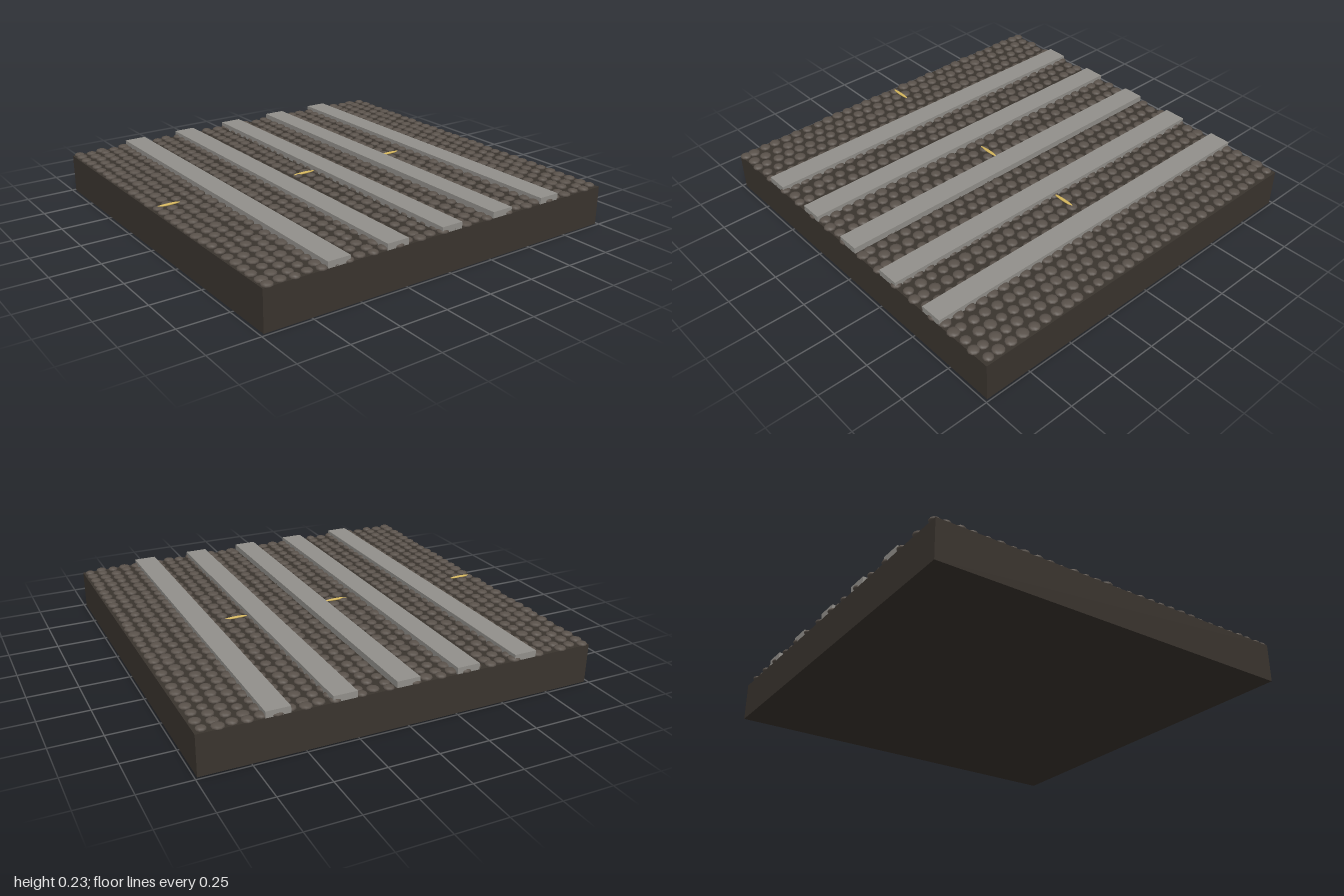
import * as THREE from 'three';
import { mergeGeometries } from 'three/addons/utils/BufferGeometryUtils.js';

const SIZE = 1.972;      // slab side length
const TOP = 0.2;         // slab top
const ROWS = 30;
const PITCH = 0.0658;    // cobble spacing

function seeded(seed) {
  return () => (seed = (seed * 16807) % 2147483647) / 2147483647;
}

function part(name, geometry, color, x = 0, y = 0, z = 0) {
  const mesh = new THREE.Mesh(geometry, new THREE.MeshStandardMaterial({ color }));
  mesh.name = name;
  mesh.position.set(x, y, z);
  return mesh;
}

// Flattened rounded stones in staggered rows, merged into one surface
function cobbleGeometry() {
  const random = seeded(71);
  const jitter = (amount) => (random() - 0.5) * 2 * amount;
  const stones = [];
  for (let row = 0; row < ROWS; row++) {
    const count = row % 2 ? 31 : 30;
    for (let i = 0; i < count; i++) {
      const radius = 0.029 + jitter(0.003);
      const limit = 0.998 - radius;
      const x = (i - (count - 1) / 2) * PITCH + jitter(0.005);
      const z = (row - (ROWS - 1) / 2) * PITCH + jitter(0.004);
      const stone = new THREE.SphereGeometry(1, 10, 6);
      stone.scale(radius, 0.012 + jitter(0.0015), radius);
      stone.rotateY(random() * Math.PI);
      stone.translate(THREE.MathUtils.clamp(x, -limit, limit), TOP + 0.005, z);
      stones.push(stone);
    }
  }
  return mergeGeometries(stones);
}

export function createModel() {
  const group = new THREE.Group();
  group.name = 'cobbledCrossing';

  // Road bed
  group.add(part('roadSlab', new THREE.BoxGeometry(SIZE, TOP, SIZE), 0x3a342e, 0, TOP / 2, -0.003));
  group.add(part('cobbles', cobbleGeometry(), 0x5a524b));

  // Raised crossing stripes
  const stripe = new THREE.BoxGeometry(SIZE, 0.032, 0.116);
  for (let i = -2; i <= 2; i++) {
    group.add(part('crossingStripe', stripe, 0x92908b, 0, TOP + 0.016, i * 0.31 - 0.007));
  }

  // Thin golden slivers along the centre line
  const sliver = new THREE.SphereGeometry(1, 16, 10);
  sliver.rotateX(Math.PI / 2);
  sliver.scale(0.009, 0.006, 0.063);
  for (const z of [-0.437, 0.124, 0.896]) {
    group.add(part('goldenSliver', sliver, 0xd2b45c, 0, 0.214, z));
  }
  return group;
}
